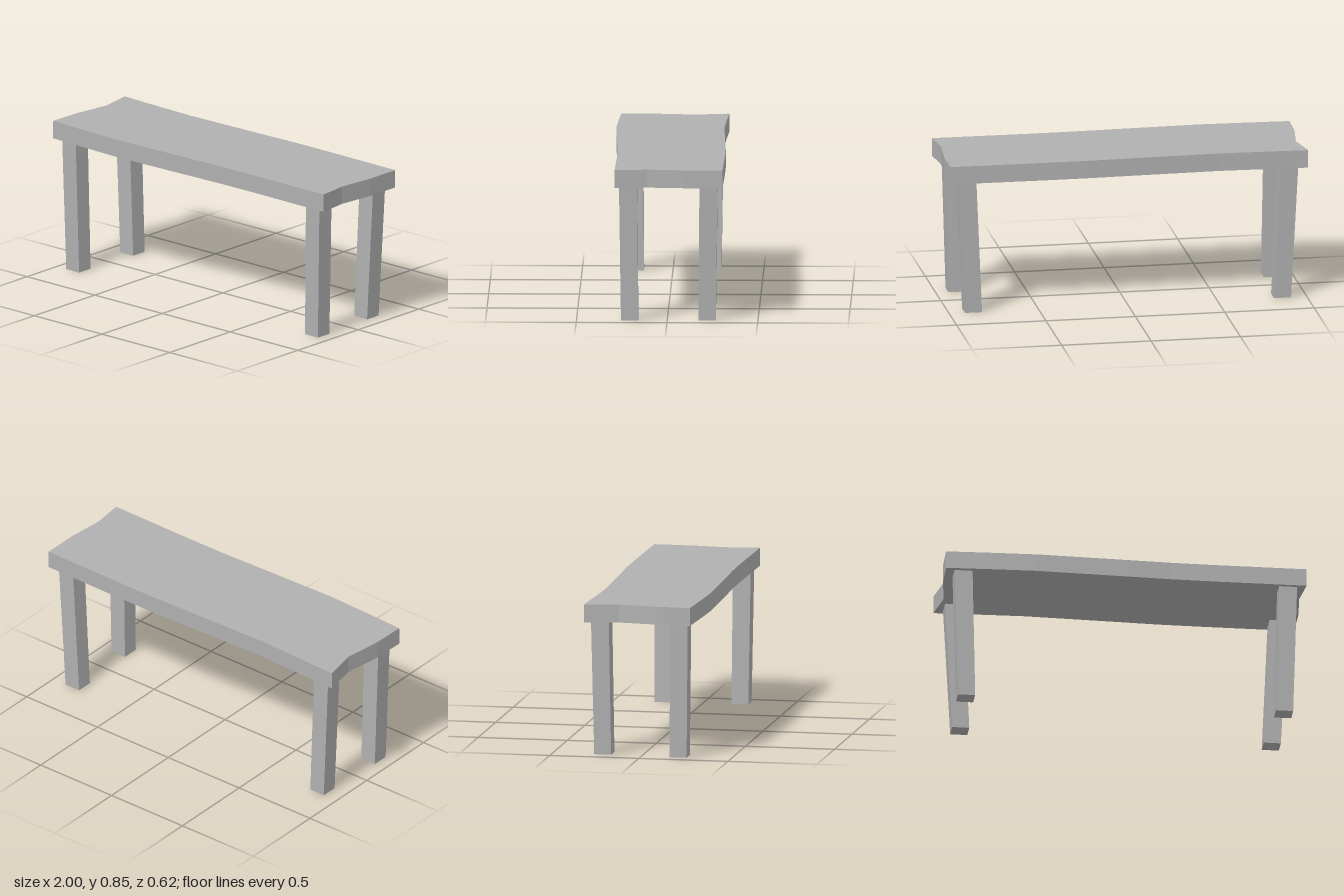
import * as THREE from 'three';

export function createModel() {
  const group = new THREE.Group();
  const stone = new THREE.MeshStandardMaterial({ color: 0xb0b0b0, flatShading: true });
  stone.name = 'greyStone';

  // Seat slab with a wavy outline, as [x, z] going round from the front left corner
  const outline = [
    [-1, 0.287], [-0.75, 0.298], [-0.5, 0.306], [0, 0.292], [0.25, 0.284], [0.5, 0.283], [1, 0.288],
    [0.98, 0.11], [1, -0.1], [1, -0.306],
    [0.5, -0.311], [0.25, -0.311], [0, -0.303], [-0.5, -0.29], [-0.75, -0.298], [-1, -0.308],
    [-0.965, -0.12], [-0.995, 0.1],
  ];
  const shape = new THREE.Shape(outline.map(([x, z]) => new THREE.Vector2(x, -z)));
  const slab = new THREE.ExtrudeGeometry(shape, { depth: 0.1, bevelEnabled: false });
  slab.rotateX(-Math.PI / 2);
  const seat = new THREE.Mesh(slab, stone);
  seat.name = 'seat';
  seat.position.y = 0.75;
  group.add(seat);

  // Square leg whose foot is narrower and set inward from its top
  function addLeg(name, side, topZ, footX, footZ) {
    const geometry = new THREE.BoxGeometry(0.1, 0.75, 0.1).translate(0, 0.375, 0);
    const p = geometry.attributes.position;
    for (let i = 0; i < p.count; i++) {
      const foot = p.getY(i) < 0.1;
      const scale = foot ? 0.95 : 1;
      p.setX(i, p.getX(i) * scale + side * (foot ? footX : 0.9));
      p.setZ(i, p.getZ(i) * scale + (foot ? footZ : topZ));
    }
    geometry.computeVertexNormals();
    const leg = new THREE.Mesh(geometry, stone);
    leg.name = name;
    group.add(leg);
  }
  for (const side of [-1, 1]) {
    const label = side > 0 ? 'Left' : 'Right';
    addLeg('front' + label + 'Leg', side, 0.215, 0.882, 0.207);
    addLeg('back' + label + 'Leg', side, -0.228, 0.864, -0.22);
  }
  return group;
}
